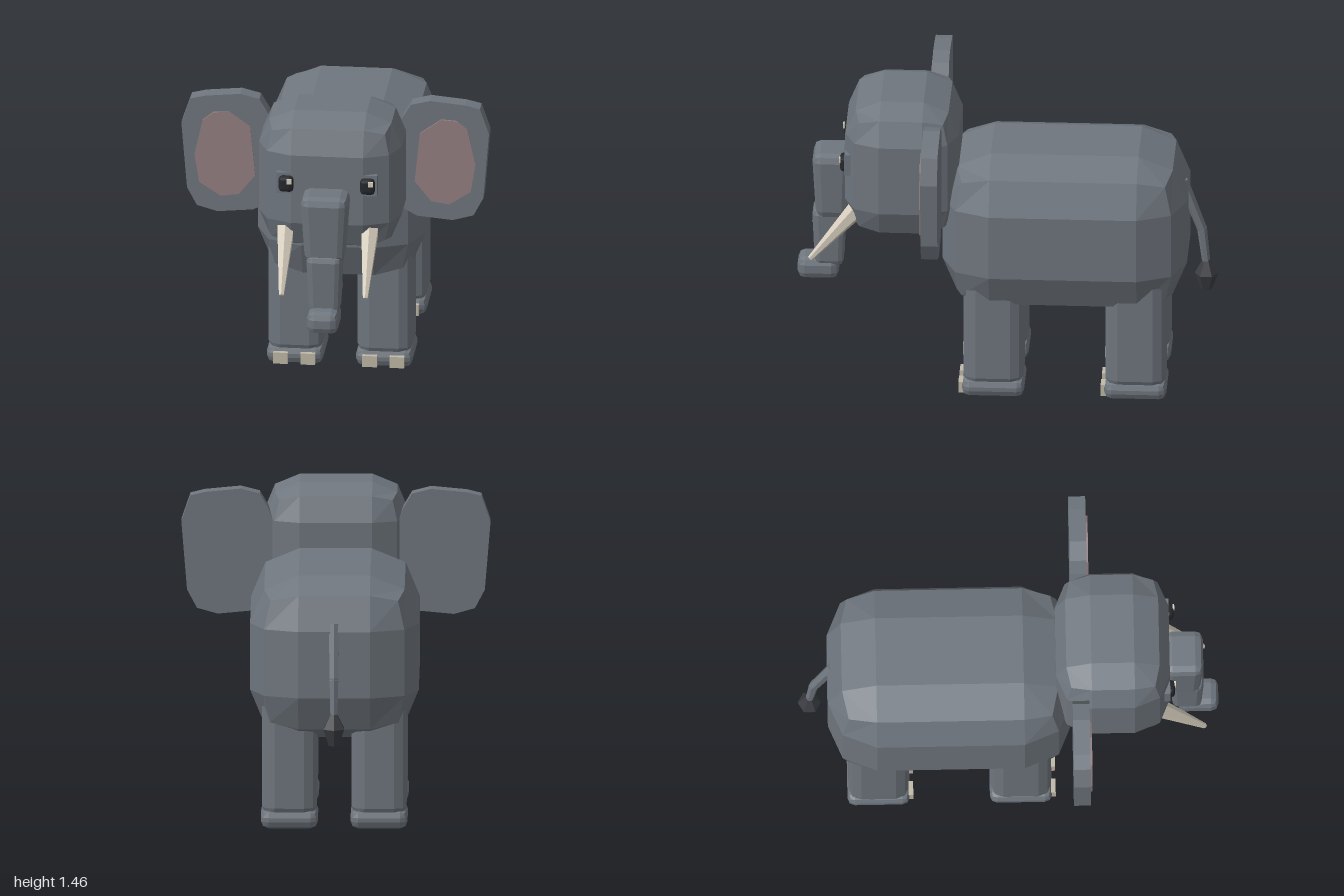
import * as THREE from 'three';
import { RoundedBoxGeometry } from 'three/addons/geometries/RoundedBoxGeometry.js';

const mat = (name, color) => {
  const m = new THREE.MeshStandardMaterial({ color, flatShading: true });
  m.name = name;
  return m;
};

export function createModel() {
  const hide = mat('grey hide', 0x6f767e);
  const pink = mat('inner ear pink', 0x957f82);
  const ivory = mat('ivory', 0xd8cfbf);
  const nail = mat('toenail', 0xc0b9a8);
  const dark = mat('eye black', 0x25272b);
  const tuftGrey = mat('tail tuft', 0x3b3d42);

  const model = new THREE.Group();
  model.name = 'elephant';

  const add = (name, geo, material, x = 0, y = 0, z = 0) => {
    const mesh = new THREE.Mesh(geo, material);
    mesh.name = name;
    mesh.position.set(x, y, z);
    model.add(mesh);
    return mesh;
  };
  // box with two facets around each edge
  const block = (w, h, d, r) => new RoundedBoxGeometry(w, h, d, 1, r);

  // same block, narrowing towards the bottom
  const taperedBlock = (w, h, d, r, k) => {
    const geo = block(w, h, d, r);
    const p = geo.attributes.position;
    for (let i = 0; i < p.count; i++) {
      const t = 0.5 - p.getY(i) / h;
      const s = 1 + (k - 1) * t;
      p.setX(i, p.getX(i) * s);
      p.setZ(i, p.getZ(i) * s);
    }
    geo.computeVertexNormals();
    return geo;
  };

  // tapered rod between two points
  const rod = (name, a, b, ra, rb, sides, material) => {
    const from = new THREE.Vector3(...a);
    const to = new THREE.Vector3(...b);
    const dir = to.clone().sub(from);
    const mesh = add(name, new THREE.CylinderGeometry(rb, ra, dir.length(), sides), material);
    mesh.position.copy(from).add(to).multiplyScalar(0.5);
    mesh.quaternion.setFromUnitVectors(new THREE.Vector3(0, 1, 0), dir.normalize());
    return mesh;
  };

  // flat plate from an outline, mirrored by side
  const plate = (points, side, depth) => new THREE.ExtrudeGeometry(
    new THREE.Shape(points.map(([x, y]) => new THREE.Vector2(x * side, y))),
    { depth, bevelEnabled: false });

  // body and head
  add('body', block(0.8, 0.78, 1.16, 0.23), hide, 0, 0.81, -0.28);
  add('head', block(0.68, 0.68, 0.54, 0.168), hide, 0, 1.12, 0.492);

  // trunk
  add('upperTrunk', taperedBlock(0.23, 0.34, 0.19, 0.04, 0.8), hide, 0, 0.965, 0.83);
  add('middleTrunk', taperedBlock(0.17, 0.3, 0.16, 0.03, 0.85), hide, 0, 0.69, 0.845);
  add('trunkTip', block(0.15, 0.11, 0.195, 0.035), hide, 0, 0.525, 0.897);

  const earOutline = [
    [0.733, 1.285], [0.69, 1.41], [0.62, 1.427], [0.451, 1.443], [0.361, 1.42], [0.32, 1.35],
    [0.28, 1.24], [0.27, 1.0], [0.31, 0.9], [0.39, 0.856], [0.56, 0.84], [0.659, 0.868], [0.706, 0.957],
  ];
  const innerEarOutline = [
    [0.631, 1.305], [0.58, 1.347], [0.506, 1.352], [0.404, 1.278], [0.38, 1.034],
    [0.459, 0.935], [0.545, 0.923], [0.647, 0.99], [0.67, 1.13],
  ];

  for (const s of [1, -1]) {
    const label = s > 0 ? 'left' : 'right';

    // ears
    add(label + 'Ear', plate(earOutline, s, 0.08), hide, 0, 0, 0.297);
    add(label + 'InnerEar', plate(innerEarOutline, s, 0.009), pink, 0, 0, 0.377);

    // eyes
    add(label + 'EyeSocket', new THREE.BoxGeometry(0.08, 0.105, 0.03), hide, s * 0.2, 1.152, 0.748);
    add(label + 'Eye', block(0.07, 0.082, 0.045, 0.018), dark, s * 0.194, 1.15, 0.763);
    add(label + 'EyeGlint', new THREE.BoxGeometry(0.024, 0.024, 0.008), ivory, s * 0.194 + 0.016, 1.168, 0.786);

    // tusks
    rod(label + 'Tusk', [s * 0.2, 0.914, 0.7], [s * 0.2, 0.643, 0.927], 0.047, 0.013, 6, ivory);

    // legs, feet and toenails
    for (const [end, z] of [['Front', 0.053], ['Back', -0.622]]) {
      const x = s * 0.2125;
      add(label + end + 'Leg', block(0.26, 0.64, 0.285, 0.06), hide, x, 0.36, z);
      add(label + end + 'Foot', block(0.27, 0.09, 0.295, 0.035), hide, x, 0.045, z);
      for (const t of [-0.065, 0.065]) {
        add(label + end + 'Toenail', new THREE.BoxGeometry(0.07, 0.056, 0.04), nail, x + t, 0.038, z + 0.145);
      }
    }
  }

  // tail
  rod('upperTail', [0, 1.0, -0.83], [0, 0.745, -0.925], 0.028, 0.024, 6, hide);
  rod('lowerTail', [0, 0.76, -0.922], [0, 0.56, -0.945], 0.024, 0.019, 6, hide);
  const tuftProfile = [[0, 0.44], [0.028, 0.44], [0.056, 0.52], [0.018, 0.59], [0, 0.59]];
  add('tailTuft', new THREE.LatheGeometry(tuftProfile.map(([r, y]) => new THREE.Vector2(r, y)), 6),
    tuftGrey, 0, 0, -0.944);

  // reversed outlines on the mirrored side are re-wound by ExtrudeGeometry
  return model;
}
